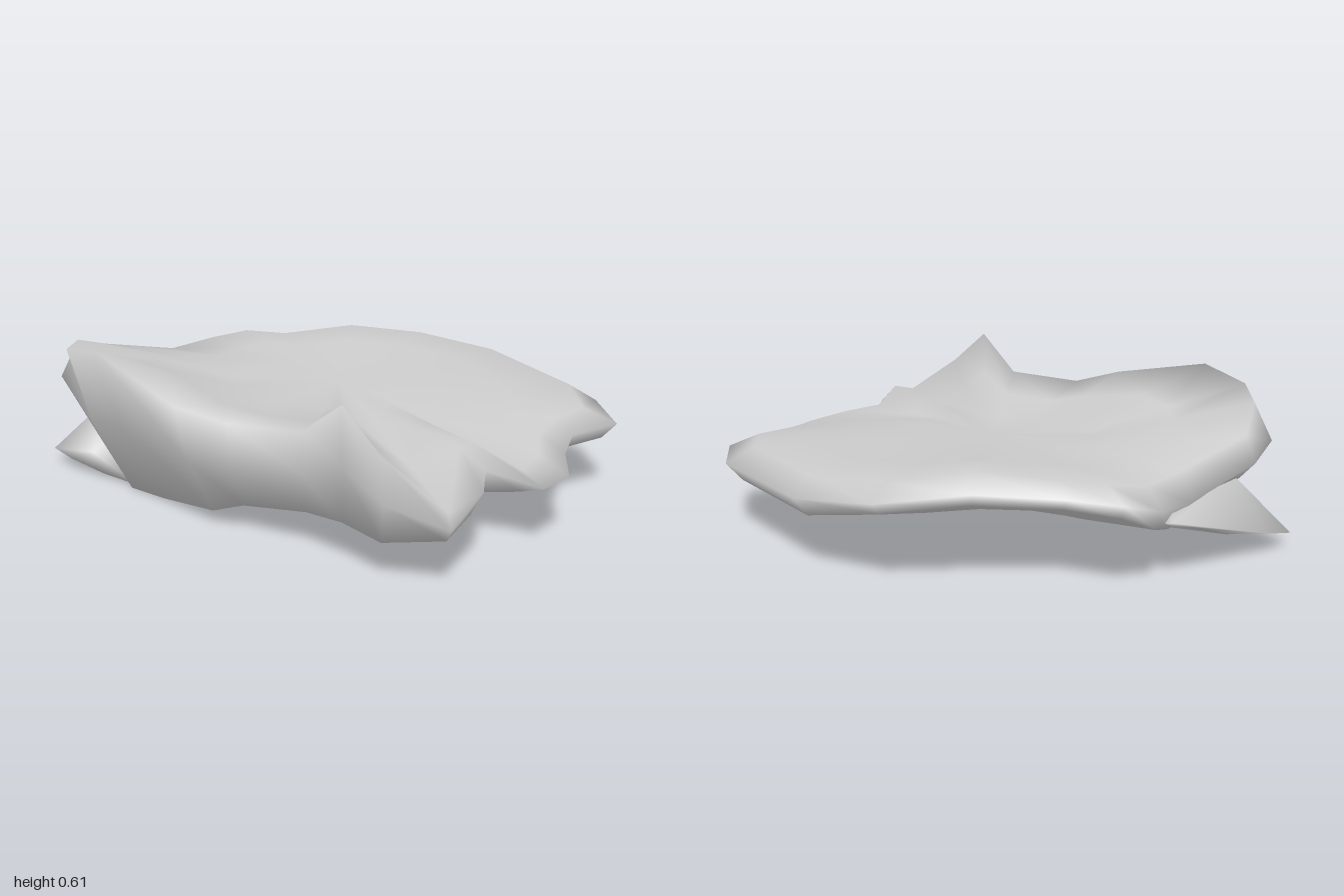
import * as THREE from 'three';
import { mergeVertices } from 'three/addons/utils/BufferGeometryUtils.js';
import { ConvexGeometry } from 'three/addons/geometries/ConvexGeometry.js';

// Outline stations: x, z, rim height, rim scale, underside height, underside scale
const STATIONS = [
  [1, -0.03, 0.31, 0.88, 0.21, 0.9],
  [0.99, 0.12, 0.3, 0.9, 0.22, 0.9],
  [0.77, 0.14, 0.36, 0.92, 0.19, 0.98],
  [0.89, 0.34, 0.4, 0.85, 0.19, 0.93],
  [0.92, 0.57, 0.3, 0.98, 0.2, 0.97],
  [0.72, 0.65, 0.455, 0.98, 0.155, 0.95],
  [0.54, 0.64, 0.6, 1, 0.17, 0.94],
  [0.36, 0.625, 0.46, 1, 0.15, 0.93],
  [0.08, 0.71, 0.45, 0.99, 0.11, 0.86],
  [-0.08, 0.79, 0.5, 1, 0.06, 0.8],
  [-0.5, 0.77, 0.61, 1, 0.005, 0.76],
  [-0.72, 0.76, 0.57, 0.97, 0, 0.77],
  [-0.88, 0.63, 0.55, 0.93, 0.25, 0.9],
  [-0.92, 0.42, 0.48, 0.96, 0.27, 0.87],
  [-0.83, 0.12, 0.41, 0.96, 0.17, 0.9],
  [-0.85, -0.12, 0.41, 0.92, 0.26, 0.97],
  [-0.79, -0.26, 0.43, 0.88, 0.33, 0.97],
  [-0.61, -0.34, 0.43, 0.88, 0.34, 0.96],
  [-0.37, -0.56, 0.465, 0.86, 0.36, 0.95],
  [-0.11, -0.77, 0.43, 0.88, 0.33, 0.95],
  [0.24, -0.8, 0.4, 0.93, 0.25, 0.94],
  [0.75, -0.68, 0.375, 0.89, 0.24, 0.94],
  [0.93, -0.51, 0.355, 0.88, 0.24, 0.95],
  [0.85, -0.32, 0.35, 0.93, 0.23, 0.95],
  [0.91, -0.16, 0.34, 0.89, 0.22, 0.92],
];

const topPlane = (x, z) => 0.405 - 0.04 * x - 0.04 * z;
const lerp = THREE.MathUtils.lerp;

function smooth(geometry) {
  const merged = mergeVertices(geometry);
  merged.computeVertexNormals();
  return merged;
}

// Rings run from the middle of the top, over the edge, to the middle underneath
function slabGeometry() {
  const top = (f) => ([x, z, y, k]) => {
    const s = f * k;
    return [x * s, lerp(topPlane(x * s, z * s), y, Math.max(0, (f - 0.4) / 0.6)), z * s];
  };
  // The edge bulges to the outline, or leans in below an overhanging rim
  const edge = ([x, z, y, k, low, kLow]) => {
    const s = k < 0.97 ? 1 : (k + kLow) / 2 + 0.03;
    return [x * s, (low + y) / 2, z * s];
  };
  const under = (f) => ([x, z, , , low, k]) => [x * f * k, lerp(0.15, low, f ** 1.5), z * f * k];
  const rings = [top(0), top(0.4), top(0.7), top(1), edge, under(1), under(0.6), under(0)];

  const n = STATIONS.length;
  const positions = rings.flatMap((ring) => STATIONS.flatMap(ring));
  const index = [];
  for (let j = 0; j < rings.length - 1; j++) {
    for (let i = 0; i < n; i++) {
      const k = (i + 1) % n;
      const a = j * n + i, b = j * n + k, c = b + n, d = a + n;
      // The first and last rings are single points, so they close as fans
      if (j === 0) index.push(a, c, d);
      else if (j === rings.length - 2) index.push(a, b, c);
      else index.push(a, b, d, b, c, d);
    }
  }
  const g = new THREE.BufferGeometry();
  g.setAttribute('position', new THREE.Float32BufferAttribute(positions, 3));
  g.setIndex(index);
  return smooth(g);
}

// Low wedge that runs down the left edge and sticks out beneath the overhang
function spurGeometry() {
  const points = [
    [-1, 0.06, 0.6], [-0.98, 0.1, 0.45], [-0.93, 0.14, 0.36], [-0.86, 0.2, 0.12],
    [-0.85, 0.27, -0.05], [-0.76, 0.31, 0.1], [-0.79, 0.28, 0.5], [-0.88, 0.05, 0.615],
    [-0.75, 0, 0.56], [-0.55, 0.01, 0.57], [-0.6, 0.12, 0.2], [-0.68, 0.14, 0.66],
  ].map((p) => new THREE.Vector3(...p));
  const g = new ConvexGeometry(points);
  g.deleteAttribute('normal');
  return smooth(g);
}

export function createModel() {
  const group = new THREE.Group();
  group.name = 'rockSlab';
  const stone = new THREE.MeshStandardMaterial({ color: 0xcccccc });
  const add = (name, geometry) => {
    const mesh = new THREE.Mesh(geometry, stone);
    mesh.name = name;
    group.add(mesh);
  };
  add('slab', slabGeometry());
  add('spur', spurGeometry());
  return group;
}
